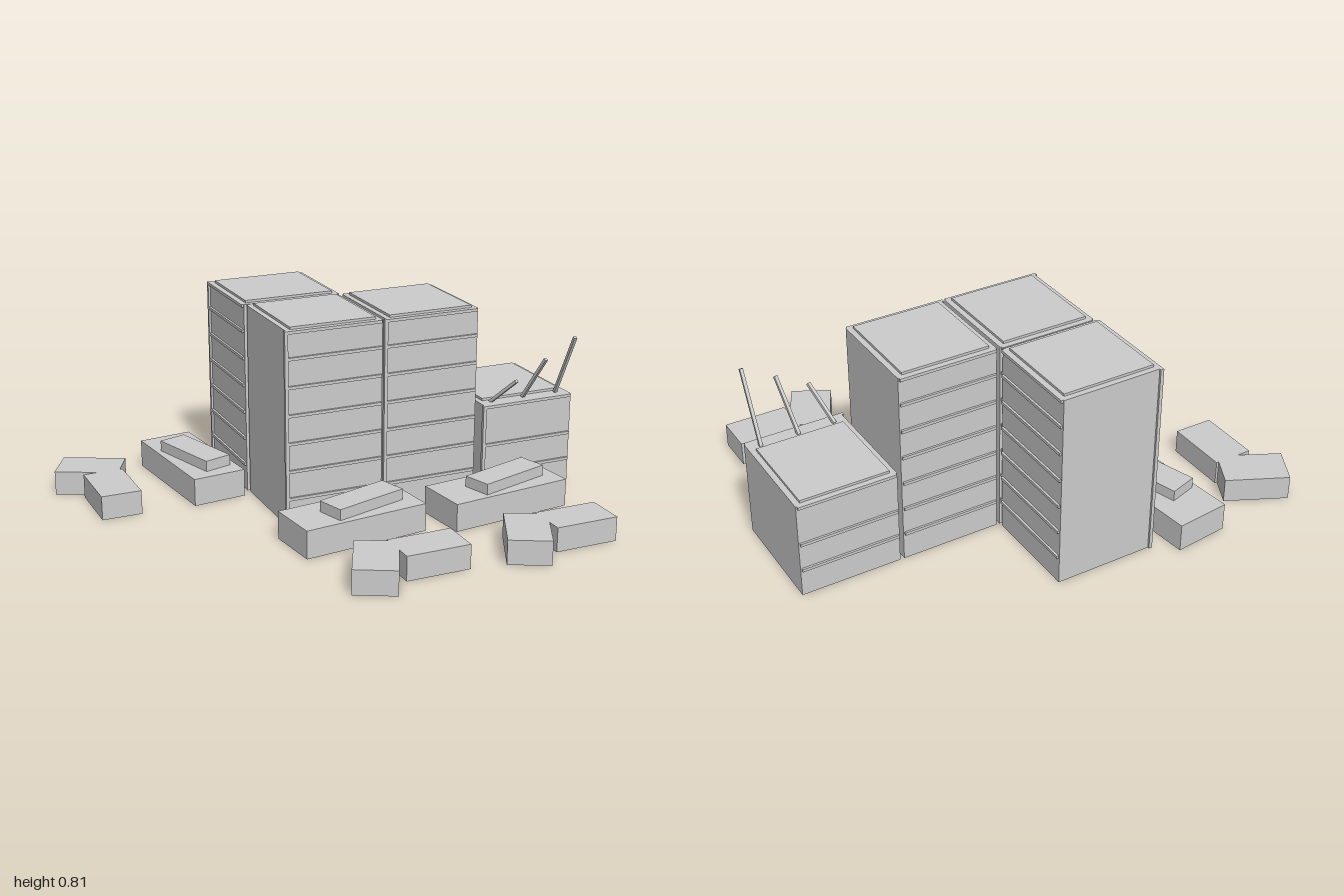
import * as THREE from 'three';

const concrete = new THREE.MeshStandardMaterial({ color: 0xcccccc });
concrete.name = 'pale concrete';

function box(name, w, h, d, x, y, z, ry = 0) {
  const mesh = new THREE.Mesh(new THREE.BoxGeometry(w, h, d), concrete);
  mesh.name = name;
  mesh.position.set(x, y + h / 2, z); // y is the underside
  mesh.rotation.y = ry;
  return mesh;
}

// Slab block with storey ledges front and back, a roof plate and a corner pipe
function tower(x, height, front = 0.08) {
  const g = new THREE.Group();
  g.name = 'tower';
  const back = -0.33, mid = (front + back) / 2;
  g.add(box('walls', 0.406, height, front - back, x, 0, mid));
  g.add(box('roofPlate', 0.36, 0.01, 0.38, x, height, -0.125));
  for (let y = 0.11; y < height - 0.07; y += 0.1145) {
    for (const z of [front, back]) g.add(box('storeyLedge', 0.396, 0.012, 0.018, x, y, z));
  }
  // Top and bottom rims close off the rows of ledges
  for (const z of [front, back]) g.add(box('roofRim', 0.396, 0.012, 0.018, x, height - 0.012, z));
  g.add(box('cornerPipe', 0.014, height, 0.014, x - 0.204, 0, front + 0.002));
  return g;
}

// Low hall with a smaller skewed block on top
function hall() {
  const g = new THREE.Group();
  g.name = 'lowHall';
  g.add(box('hallBase', 0.533, 0.115, 0.226, -0.0525, 0, 0.2525, 0.113));
  g.add(box('hallTop', 0.324, 0.045, 0.12, -0.0125, 0.115, 0.25, 0.297));
  return g;
}

// Bent single-storey building, extruded from its plan
function bentBuilding() {
  const plan = [[-0.05, 0.565], [-0.05, 0.555], [0.215, 0.555], [0.215, 0.72], [-0.05, 0.72],
    [-0.05, 0.66], [-0.13, 0.82], [-0.28, 0.742], [-0.165, 0.508]];
  const shape = new THREE.Shape(plan.map(([x, z]) => new THREE.Vector2(x, -z)));
  const geo = new THREE.ExtrudeGeometry(shape, { depth: 0.1, bevelEnabled: false });
  geo.rotateX(-Math.PI / 2);
  const mesh = new THREE.Mesh(geo, concrete);
  mesh.name = 'bentBuilding';
  return mesh;
}

// Square pole between two points
function pole(a, b) {
  const from = new THREE.Vector3(...a), to = new THREE.Vector3(...b);
  const mesh = new THREE.Mesh(new THREE.BoxGeometry(0.013, 0.013, from.distanceTo(to)), concrete);
  mesh.name = 'roofPole';
  mesh.position.copy(from).add(to).multiplyScalar(0.5);
  mesh.lookAt(to);
  return mesh;
}

export function createModel() {
  const model = new THREE.Group();
  model.name = 'housingEstate';

  // Front row
  model.add(tower(-0.05, 0.8), tower(0.37, 0.8), tower(0.793, 0.4, 0.127));
  model.add(hall(), bentBuilding());

  // Second hall and bent building to the left
  const second = new THREE.Group();
  second.name = 'leftLowBuildings';
  second.add(hall(), bentBuilding());
  second.position.x = 0.635;
  model.add(second);

  // Rear wing: the same ensemble turned a quarter
  const wing = new THREE.Group();
  wing.name = 'rearWing';
  wing.add(tower(-0.05, 0.8), hall(), bentBuilding());
  wing.rotation.y = -Math.PI / 2;
  wing.position.set(-0.18, 0, -0.497);
  model.add(wing);

  // Leaning poles on the short tower
  model.add(
    pole([0.64, 0.4, 0.085], [0.68, 0.52, 0.218]),
    pole([0.79, 0.4, 0.085], [0.812, 0.595, 0.218]),
    pole([0.945, 0.4, 0.085], [0.945, 0.67, 0.218]),
  );
  return model;
}
